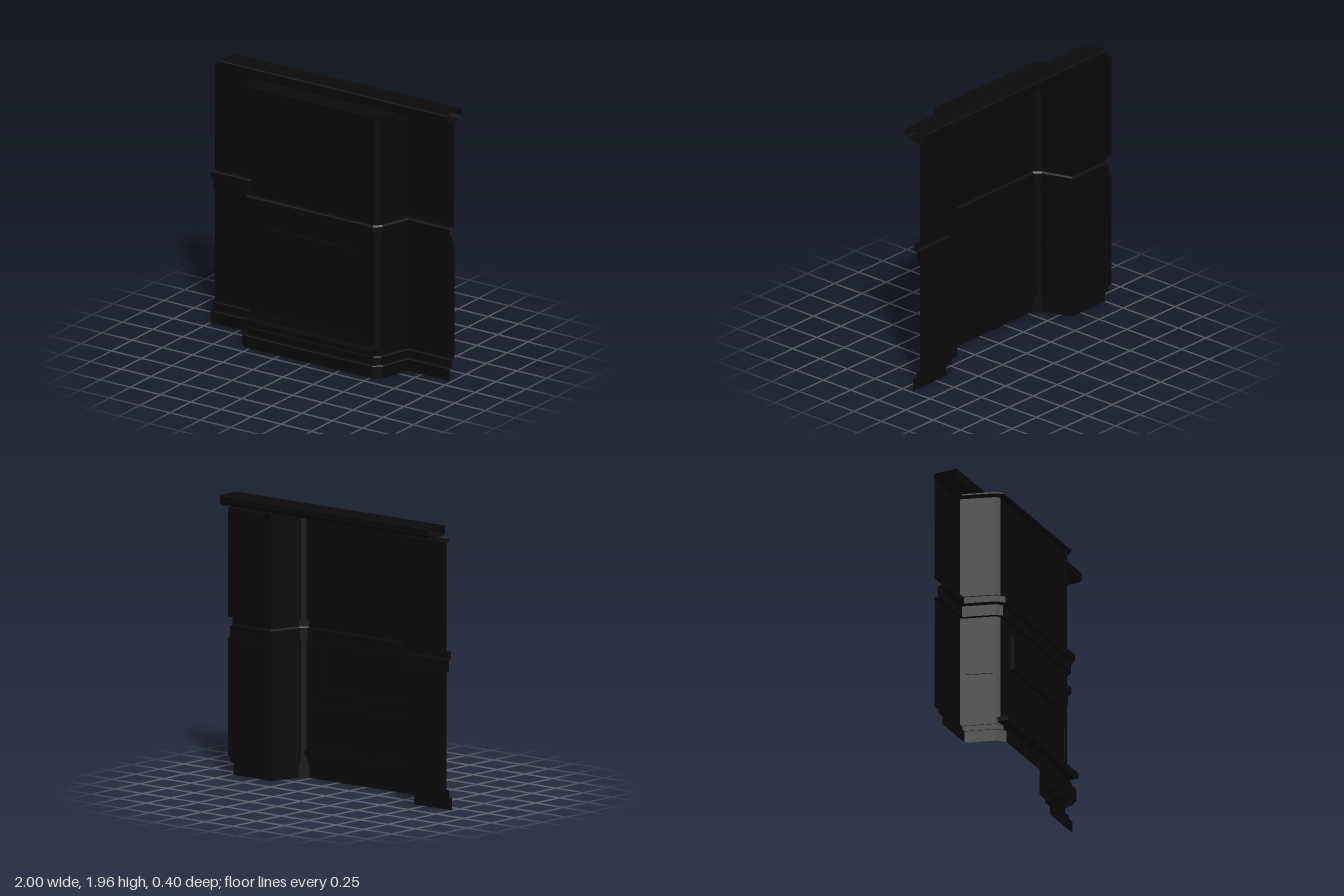
import * as THREE from 'three';

const mat = new THREE.MeshStandardMaterial({ color: 0x0a0a0a, side: THREE.DoubleSide });
const V = (x, y, z) => new THREE.Vector3(x, y, z);

// plan of the wall, left to right: [x, z]; flat wings and a bevelled bay
const half = [[0.605, -0.14], [0.53, 0.095], [0.505, 0.12]];
const cx = -0.01;
const plan = [
  [-1, -0.14],
  ...half.map(([x, z]) => [cx - x, z]),
  ...[...half].reverse().map(([x, z]) => [cx + x, z]),
  [0.98, -0.14],
];

// wall section from the floor up: [offset outwards, y]
const section = [
  [0.06, 0], [0.06, 0.085], [0.055, 0.09], [0.03, 0.09], [0.03, 0.14], [0.025, 0.145], [0, 0.145],
  [0, 0.965], [0.025, 0.965], [0.025, 1.045], [0.04, 1.045], [0.05, 1.055], [0.05, 1.1], [0.04, 1.11],
  [0, 1.11], [0, 1.865], [0.02, 1.87], [0.028, 1.88], [0.028, 1.89],
];
const bodyBand = 6; // section step that carries the panels
const partNames = ['base', 'body', 'rail', 'upperWall', 'cornice'];
const partStarts = [0, 6, 7, 14, 15, section.length - 1];

// plan shifted outwards by d with mitred corners
function offsetPlan(d) {
  const normals = plan.slice(1).map(([x, z], i) => {
    const dx = x - plan[i][0], dz = z - plan[i][1], l = Math.hypot(dx, dz);
    return [-dz / l, dx / l];
  });
  return plan.map(([x, z], i) => {
    const n = normals[Math.max(i - 1, 0)], m = normals[Math.min(i, normals.length - 1)];
    const k = d / (1 + n[0] * m[0] + n[1] * m[1]);
    return [x + (n[0] + m[0]) * k, z + (n[1] + m[1]) * k];
  });
}

// flat-shaded skin between rows of points
function loft(rows, skip = () => false) {
  const pts = [];
  for (let r = 0; r < rows.length - 1; r++) {
    for (let i = 0; i < rows[r].length - 1; i++) {
      if (skip(r, i)) continue;
      const a = rows[r][i], b = rows[r][i + 1], c = rows[r + 1][i + 1], d = rows[r + 1][i];
      pts.push(a, b, c, a, c, d);
    }
  }
  const g = new THREE.BufferGeometry().setFromPoints(pts);
  g.computeVertexNormals();
  return g;
}

function add(parent, name, geometry) {
  const m = new THREE.Mesh(geometry, mat);
  m.name = name;
  parent.add(m);
  return m;
}

function box(parent, name, x0, x1, y0, y1, z0, z1) {
  add(parent, name, new THREE.BoxGeometry(x1 - x0, y1 - y0, z1 - z0))
    .position.set((x0 + x1) / 2, (y0 + y1) / 2, (z0 + z1) / 2);
}

const rect = (u0, u1, v0, v1) =>
  [[u0, v0], [u1, v0], [u1, v1], [u0, v1]].map(([u, v]) => new THREE.Vector2(u, v));

// flat wall between two plan points with raised or sunk panels [u0, u1, v0, v1, depth]
function panelWall(parent, name, a, b, panels) {
  const g = new THREE.Group();
  g.name = name;
  g.position.set(a[0], 0, a[1]);
  g.rotation.y = Math.atan2(-(b[1] - a[1]), b[0] - a[0]);
  const len = Math.hypot(b[0] - a[0], b[1] - a[1]);
  const sheet = new THREE.Shape(rect(0, len, section[bodyBand][1], section[bodyBand + 1][1]));
  for (const [u0, u1, v0, v1, d] of panels) {
    const r = rect(u0, u1, v0, v1);
    sheet.holes.push(new THREE.Path(r));
    const ring = z => [...r, r[0]].map(p => V(p.x, p.y, z));
    add(g, 'panelEdge', loft([ring(0), ring(d)]));
    add(g, 'panelFace', new THREE.ShapeGeometry(new THREE.Shape(r)).translate(0, 0, d));
  }
  add(g, 'panelSurround', new THREE.ShapeGeometry(sheet));
  parent.add(g);
}

export function createModel() {
  const model = new THREE.Group();
  model.name = 'bayWall';

  // stepped wall, base, rail and cornice
  const rows = section.map(([d, y]) => offsetPlan(d).map(([x, z]) => V(x, y, z)));
  partNames.forEach((name, p) => {
    const skip = name === 'body' ? (r, i) => i === 1 || i === 3 || i === 5 : undefined;
    add(model, name, loft(rows.slice(partStarts[p], partStarts[p + 1] + 1), skip));
  });

  // panelled faces of the bay
  panelWall(model, 'bayFront', plan[3], plan[4],
    [[0.025, 0.985, 0.26, 0.54, -0.008], [0.155, 0.835, 0.63, 0.89, 0.025]]);
  panelWall(model, 'bayLeftSide', plan[1], plan[2], [[0.042, 0.231, 0.26, 0.54, -0.006]]);
  panelWall(model, 'bayRightSide', plan[5], plan[6], [[0.016, 0.205, 0.26, 0.54, -0.006]]);

  // top of the bay
  const lid = offsetPlan(0.028).slice(1, 7).map(([x, z]) => new THREE.Vector2(x, -z));
  add(model, 'bayTop', new THREE.ShapeGeometry(new THREE.Shape(lid)).rotateX(-Math.PI / 2).translate(0, 1.888, 0));

  // ledge and two small vents on the front
  box(model, 'ledge', -0.54, 0.52, 0.165, 0.203, 0.11, 0.195);
  for (const x of [-0.255, 0.22]) box(model, 'vent', x - 0.088, x + 0.088, 0.215, 0.245, 0.115, 0.143);

  // open-ended top beam with bevelled lower edges
  const beam = [[-0.035, 1.89], [-0.02, 1.905], [-0.02, 1.953], [-0.027, 1.96], [-0.193, 1.96],
    [-0.2, 1.953], [-0.2, 1.91], [-0.18, 1.89], [-0.035, 1.89]];
  add(model, 'topBeam', loft(beam.map(([z, y]) => [V(-0.885, y, z), V(1, y, z)])));

  return model;
}
